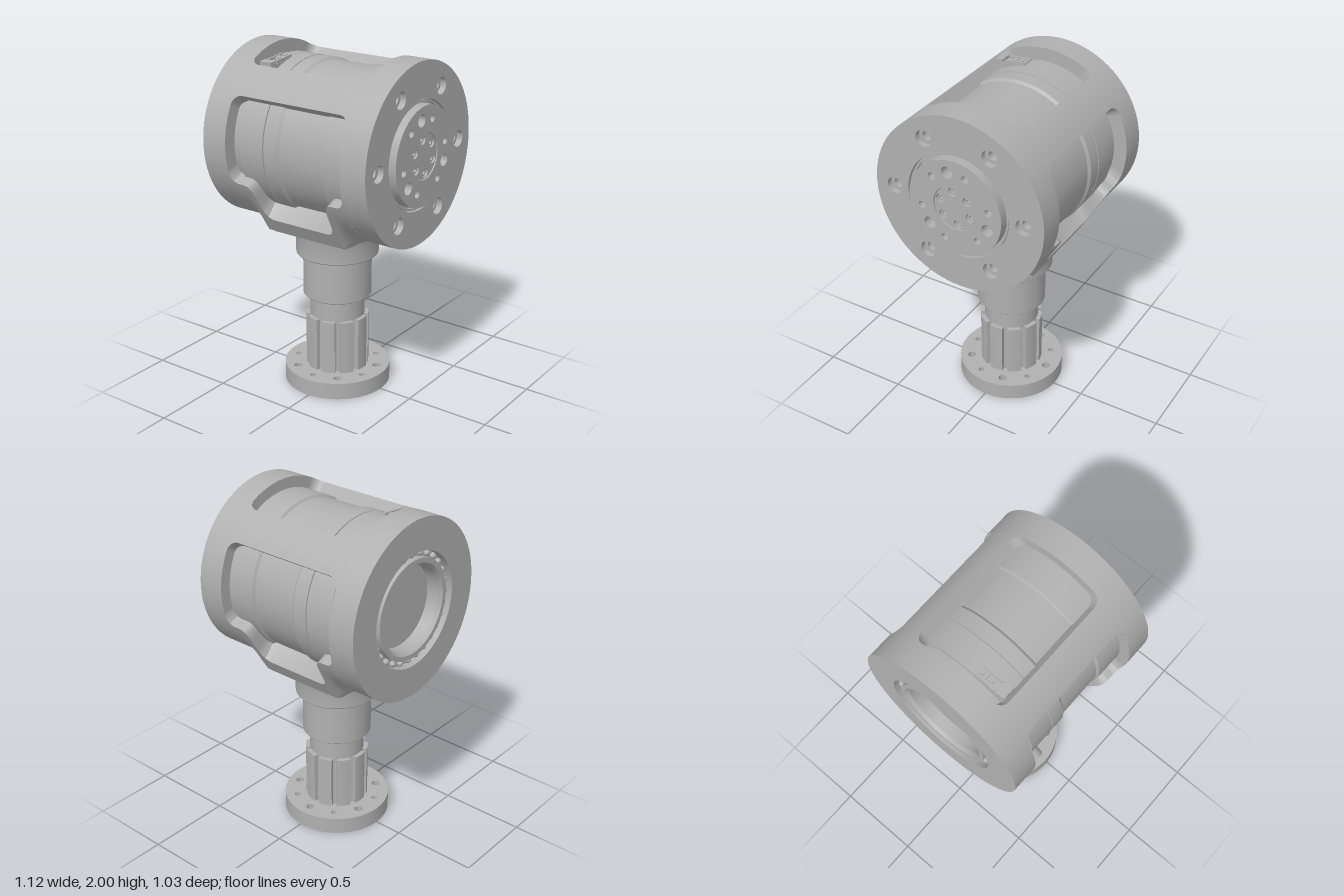
import * as THREE from 'three';
import { toCreasedNormals } from 'three/addons/utils/BufferGeometryUtils.js';

const YC = 1.485;          // height of the horizontal axis
const R = 0.515;           // housing radius
const STEM_X = -0.018;     // stem axis
const CX = -0.015;         // centre of the windows along x
const HALF = 0.385;        // half length of the windows
const rad = THREE.MathUtils.degToRad;

export function createModel() {
  const model = new THREE.Group();
  const metal = new THREE.MeshStandardMaterial({ color: 0xb0b0b0 });
  metal.name = 'machinedMetal';

  const add = (name, geo, parent = model) => {
    const mesh = new THREE.Mesh(toCreasedNormals(geo, 0.5), metal);
    mesh.name = name;
    parent.add(mesh);
    return mesh;
  };
  const lathe = (pts, seg = 96) =>
    new THREE.LatheGeometry(pts.map(p => new THREE.Vector2(p[0], p[1])), seg);
  // Turned part on the horizontal axis, points are [radius, x]
  const latheX = (pts) => lathe(pts).rotateZ(-Math.PI / 2).translate(0, YC, 0);

  const circle = (u, v, r, cls = THREE.Path) => new cls().absarc(u, v, r, 0, Math.PI * 2, false);
  // Evenly spaced holes as [u, v, r]
  const ring = (n, dist, r, startDeg) => Array.from({ length: n }, (_, i) => {
    const a = rad(startDeg + i * 360 / n);
    return [Math.cos(a) * dist, Math.sin(a) * dist, r];
  });
  const plate = (shape, holes, depth, curveSegments = 40) => {
    holes.forEach(h => shape.holes.push(circle(...h)));
    return new THREE.ExtrudeGeometry(shape, { depth, bevelEnabled: false, curveSegments });
  };
  // Disc facing +x between x0 and x1
  const discX = (r, holes, x0, x1) =>
    plate(circle(0, 0, r, THREE.Shape), holes, x1 - x0).rotateY(Math.PI / 2).translate(x0, YC, 0);

  // ---- Housing ends ----
  const housing = new THREE.Group();
  housing.name = 'housing';
  model.add(housing);
  add('leftEndRing', discX(R, [[0, 0, 0.33]], -0.56, -0.4), housing);
  add('boltRingInner', discX(R, [[0, 0, 0.31], ...ring(6, 0.397, 0.028, 0)], 0.37, 0.495), housing);
  add('boltRingOuter', discX(R, [[0, 0, 0.31], ...ring(6, 0.397, 0.048, 0)], 0.495, 0.53), housing);

  // ---- Curved wall panels between the windows ----
  // stations: [x, start angle, end angle] with angles from the top towards +z
  const panel = (stations, radius, n) => {
    const pos = [], idx = [], row = 2 * (n + 1);
    stations.forEach(([x, a0, a1]) => {
      for (let k = 0; k < row; k++) {
        const outer = k <= n;
        const a = a0 + (a1 - a0) * (outer ? k : row - 1 - k) / n;
        const r = outer ? radius(a, x) : 0.43;
        pos.push(x, YC + r * Math.cos(a), r * Math.sin(a));
      }
    });
    for (let i = 0; i < stations.length - 1; i++) for (let k = 0; k < row; k++) {
      const a = i * row + k, b = i * row + (k + 1) % row;
      idx.push(a, b, a + row, b, b + row, a + row);
    }
    const geo = new THREE.BufferGeometry();
    geo.setAttribute('position', new THREE.Float32BufferAttribute(pos, 3));
    geo.setIndex(idx);
    return geo;
  };
  // Mirrors [w, angle] samples, running from the window end to the middle
  const mirrored = (list) => [
    ...list.map(([w, g]) => [CX - w, g]),
    ...list.slice().reverse().map(([w, g]) => [CX + w, g]),
  ];

  // Two upper rails, flaring into rounded window corners
  const corner = 0.06, edge = [];
  for (let i = 0; i <= 8; i++) {
    const t = i / 8 * Math.PI / 2;
    edge.push([HALF - corner * (1 - Math.cos(t)), rad(33.6) - corner * (1 - Math.sin(t)) / R]);
  }
  const rail = mirrored(edge);
  add('frontRail', panel(rail.map(([x, g]) => [x, g, Math.PI / 2 - g]), () => R, 16), housing);
  add('backRail', panel(rail.map(([x, g]) => [x, g - Math.PI / 2, -g]), () => R, 16), housing);

  // Lower saddle: stepped window edge and a skirt tangent to the cylinder
  const skirt = (a, x) => {
    const phi = Math.abs(a - Math.PI), w = Math.abs(x - CX);
    let r = R;
    if (phi < rad(30)) r = R / Math.cos(phi);
    else if (phi < rad(60)) r = R / Math.cos(phi - rad(60));
    return R + (r - R) * (1 - THREE.MathUtils.smoothstep(w, 0.26, 0.335));
  };
  const step = [
    [0.385, 15], [0.381, 19], [0.367, 22], [0.34, 23.5], [0.325, 23.5], [0.31, 23.5],
    [0.295, 23.6], [0.275, 24.4], [0.26, 26], [0.25, 29], [0.245, 33], [0.24, 42],
    [0.235, 46], [0.22, 49], [0.19, 50.6], [0, 50.6],
  ].map(([w, g]) => [w, rad(90 + g)]);
  add('lowerSaddle', panel(mirrored(step.slice(0, -1)).map(([x, g]) => [x, g, 2 * Math.PI - g]), skirt, 60), housing);

  // ---- Motor inside the housing ----
  add('motorBody', latheX([
    [0.3, -0.42], [0.437, -0.42], [0.437, -0.36], [0.425, -0.358], [0.425, -0.352], [0.45, -0.35],
    [0.45, -0.192], [0.43, -0.191], [0.43, -0.186], [0.45, -0.185], [0.45, -0.1], [0.437, -0.085],
    [0.435, 0.19], [0.448, 0.2], [0.45, 0.39], [0.3, 0.39],
  ]));
  // Cable connector on the upper side
  const connector = new THREE.Group();
  connector.name = 'cableConnector';
  connector.position.set(-0.315, 1.915, 0.16);
  connector.rotation.x = 0.1;
  model.add(connector);
  [
    ['connectorBase', 0.075, 0.03, 0.2, 0, -0.01, 0],
    ['connectorRailLeft', 0.012, 0.03, 0.13, 0.03, 0.005, -0.025],
    ['connectorRailRight', 0.012, 0.03, 0.13, -0.03, 0.005, -0.025],
    ['connectorBridge', 0.07, 0.022, 0.02, 0, 0.005, -0.045],
    ['connectorBlock', 0.075, 0.03, 0.045, 0, 0.008, 0.075],
  ].forEach(([name, w, h, d, x, y, z]) =>
    add(name, new THREE.BoxGeometry(w, h, d).translate(x, y, z), connector));
  [-0.075, -0.01].forEach(z =>
    add('connectorPin', new THREE.CylinderGeometry(0.016, 0.016, 0.03, 16).translate(0, 0.004, z), connector));

  // ---- Hub on the bolted end ----
  const hub = new THREE.Group();
  hub.name = 'hub';
  model.add(hub);
  add('hubBacking', discX(0.312, [], 0.45, 0.5), hub);
  add('sealRing', discX(0.304, [[0, 0, 0.292]], 0.49, 0.522), hub);
  add('hubDisc', discX(0.282, [[0, 0, 0.13], ...ring(3, 0.21, 0.035, 101), ...ring(6, 0.208, 0.021, 11)], 0.49, 0.56), hub);
  add('hubCore', discX(0.127, ring(6, 0.096, 0.026, 99), 0.49, 0.554), hub);
  ring(6, 0.096, 0, 99).forEach(([u, v]) => {
    const screw = plate(circle(0, 0, 0.021, THREE.Shape), [[0, 0, 0.011]], 0.045, 12);
    add('hubScrew', screw.rotateY(Math.PI / 2).translate(0.5, YC + v, -u), hub);
  });

  // ---- Bearing and bore on the open end ----
  add('boreRing', latheX([
    [0, -0.46], [0.24, -0.46], [0.245, -0.53], [0.26, -0.55], [0.288, -0.55], [0.288, -0.51], [0.335, -0.51],
  ]));
  ring(28, 0.309, 0, 0).forEach(([u, v]) =>
    add('bearingBall', new THREE.SphereGeometry(0.018, 12, 8).translate(-0.52, YC + v, u)));

  // ---- Stem ----
  const stem = new THREE.Group();
  stem.name = 'stem';
  stem.position.x = STEM_X;
  model.add(stem);
  add('neck', lathe([
    [0, 0.5], [0.12, 0.5], [0.12, 0.419], [0.16, 0.419], [0.16, 0.535], [0.155, 0.54], [0.145, 0.54],
    [0.145, 0.555], [0.195, 0.55], [0.2, 0.555], [0.2, 0.81], [0.236, 0.81], [0.24, 0.815],
    [0.24, 0.945], [0.247, 0.963], [0.265, 0.975], [0.265, 0.99],
  ]), stem);
  const neckBore = lathe([[0.12, 0.5], [0.12, 0.015]], 48);
  add('stemBore', neckBore, stem);

  // Ribbed column
  const ribs = new THREE.Shape(), teeth = 10;
  for (let i = 0; i < teeth; i++) {
    [[-13, 0.185], [-6.5, 0.185], [0, 0.185], [6.5, 0.185], [13, 0.185], [14, 0.16], [18, 0.156], [22, 0.16]]
      .forEach(([d, r], k) => {
        const a = rad(i * 360 / teeth + d);
        ribs[i + k ? 'lineTo' : 'moveTo'](r * Math.cos(a), r * Math.sin(a));
      });
  }
  ribs.closePath();
  const upright = (geo, y) => geo.rotateX(-Math.PI / 2).translate(0, y, 0);
  add('ribbedColumn', upright(plate(ribs, [[0, 0, 0.12]], 0.325), 0.098), stem);

  // Foot flange with bolt holes and a thin rim below
  const bolts = [...ring(5, 0.245, 0.024, 18), ...ring(5, 0.245, 0.017, 54)];
  add('footFlange', upright(plate(circle(0, 0, 0.313, THREE.Shape), [[0, 0, 0.12], ...bolts], 0.08), 0.02), stem);
  add('footRim', lathe([[0.29, 0], [0.313, 0], [0.313, 0.02], [0.29, 0.02], [0.29, 0]]), stem);
  add('footCollar', lathe([[0.12, 0.006], [0.138, 0.006], [0.138, 0.02], [0.12, 0.02], [0.12, 0.006]], 48), stem);

  return model;
}
